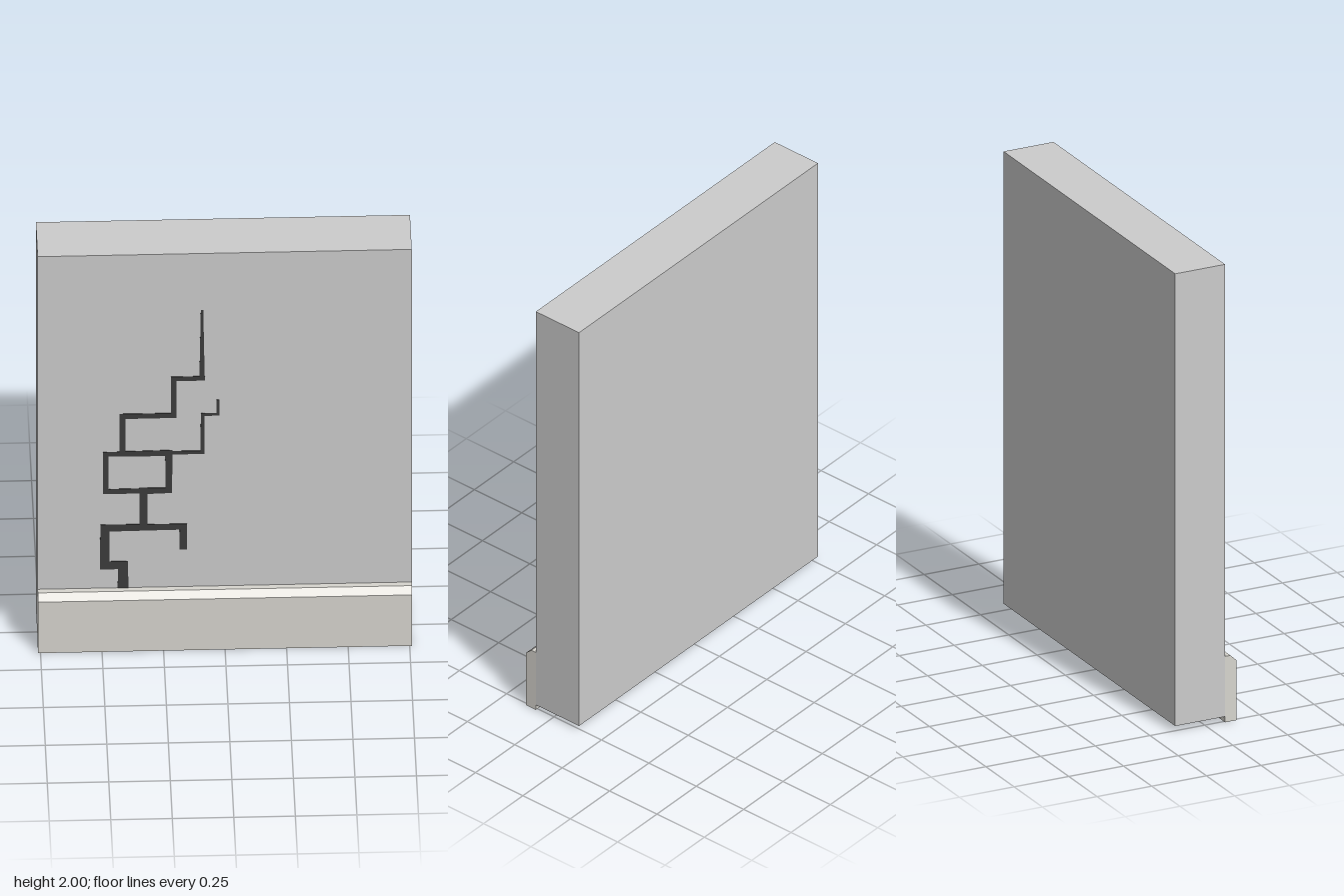
import * as THREE from 'three';

const W = 1.52, FRONT = 0.088, BACK = -0.14;

function add(group, name, geometry, color) {
  const mesh = new THREE.Mesh(geometry,
    new THREE.MeshStandardMaterial({ color, side: THREE.DoubleSide }));
  mesh.name = name;
  group.add(mesh);
  return mesh;
}

// Wall shell, left open underneath
function wallGeometry() {
  const bottom = 0.025, height = 2 - bottom;
  const geo = new THREE.BoxGeometry(W, height, FRONT - BACK);
  const index = Array.from(geo.index.array);
  index.splice(18, 6);
  geo.setIndex(index);
  geo.clearGroups();
  return geo.translate(0, bottom + height / 2, (FRONT + BACK) / 2);
}

// Skirting board: chamfered profile (z, y) swept along x
function skirtingGeometry() {
  const profile = [[FRONT, 0], [0.14, 0], [0.14, 0.262], [0.112, 0.288], [FRONT, 0.288]];
  const shape = new THREE.Shape(profile.map(([z, y]) => new THREE.Vector2(-z, y)));
  return new THREE.ExtrudeGeometry(shape, { depth: W, bevelEnabled: false })
    .rotateY(Math.PI / 2).translate(-W / 2, 0, 0);
}

// One straight, tapering piece of crack between points [x, y, width]
function crackPiece(a, b, padA, padB) {
  const A = new THREE.Vector2(a[0], a[1]), B = new THREE.Vector2(b[0], b[1]);
  const dir = B.clone().sub(A).normalize();
  const side = new THREE.Vector2(-dir.y, dir.x);
  A.addScaledVector(dir, -padA);
  B.addScaledVector(dir, padB);
  const at = (p, w) => p.clone().addScaledVector(side, w / 2);
  const shape = new THREE.Shape([at(A, -a[2]), at(B, -b[2]), at(B, b[2]), at(A, a[2])]);
  return new THREE.ExtrudeGeometry(shape, { depth: 0.003, bevelEnabled: false })
    .translate(0, 0, FRONT - 0.001);
}

// Stepped crack lines following the masonry joints
const cracks = {
  mainCrack: [
    [-0.413, 0.285, 0.044], [-0.413, 0.405, 0.04], [-0.487, 0.405, 0.04], [-0.487, 0.597, 0.036],
    [-0.33, 0.597, 0.032], [-0.33, 0.785, 0.034], [-0.227, 0.785, 0.026], [-0.227, 0.977, 0.03],
    [-0.415, 0.977, 0.025], [-0.415, 1.17, 0.026], [-0.207, 1.17, 0.024], [-0.207, 1.358, 0.022],
    [-0.092, 1.358, 0.022], [-0.092, 1.71, 0.01]],
  crackLoop: [[-0.33, 0.785, 0.026], [-0.483, 0.785, 0.024], [-0.483, 0.977, 0.022], [-0.415, 0.977, 0.022]],
  lowerBranch: [[-0.33, 0.597, 0.032], [-0.168, 0.597, 0.029], [-0.168, 0.48, 0.03]],
  upperBranch: [[-0.227, 0.978, 0.018], [-0.09, 0.978, 0.016], [-0.09, 1.172, 0.014],
    [-0.027, 1.172, 0.013], [-0.027, 1.247, 0.012]],
};

export function createModel() {
  const model = new THREE.Group();
  model.name = 'crackedWall';
  add(model, 'wall', wallGeometry(), 0xcccccc);
  add(model, 'skirtingBoard', skirtingGeometry(), 0xd6d4ce);

  for (const [name, path] of Object.entries(cracks)) {
    const group = new THREE.Group();
    group.name = name;
    for (let i = 0; i < path.length - 1; i++) {
      // Pieces overlap at the corners but stop square at the path ends
      const padA = i > 0 ? path[i][2] / 2 : 0;
      const padB = i < path.length - 2 ? path[i + 1][2] / 2 : 0;
      add(group, 'crackPiece', crackPiece(path[i], path[i + 1], padA, padB), 0x3c3c3c);
    }
    model.add(group);
  }
  return model;
}
